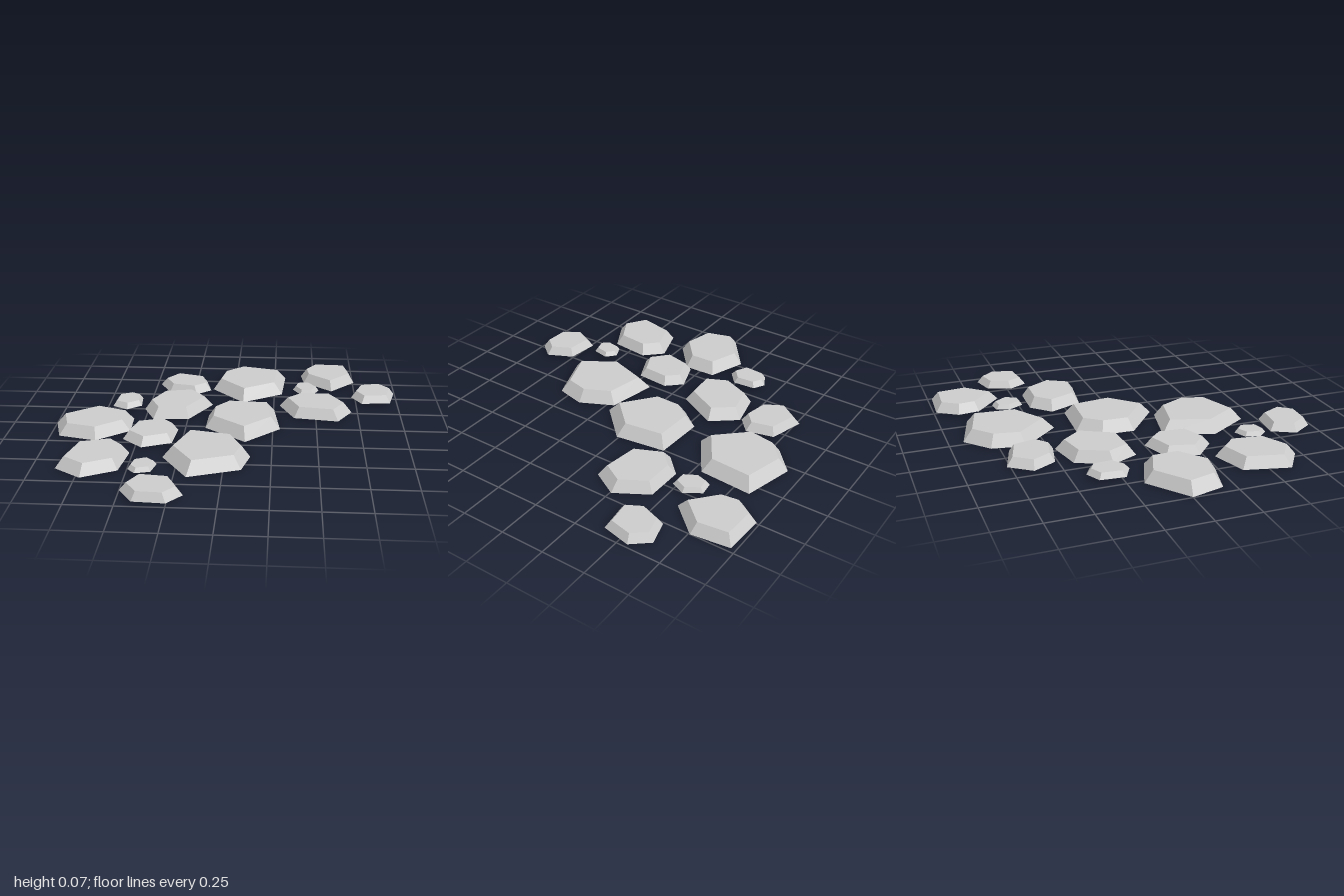
import * as THREE from 'three';

// Ground outlines as x, z pairs, clockwise seen from above
const largeStones = [
  [0.035, -0.917, 0.318, -0.842, 0.297, -0.543, 0.061, -0.393, -0.136, -0.607, -0.104, -0.794],
  [-0.035, -0.291, 0.254, -0.275, 0.291, 0.013, 0.099, 0.206, -0.136, 0.019, -0.131, -0.168],
  [-0.238, 0.152, 0.045, 0.211, 0.136, 0.398, 0.094, 0.564, -0.184, 0.666, -0.334, 0.43],
  [0.5, -0.987, 0.73, -0.976, 0.757, -0.762, 0.607, -0.596, 0.436, -0.746, 0.42, -0.869],
  [0.393, -0.447, 0.607, -0.441, 0.714, -0.259, 0.628, -0.11, 0.372, -0.147, 0.286, -0.34],
  [-0.436, -0.43, -0.233, -0.473, -0.12, -0.329, -0.243, -0.099, -0.452, -0.088, -0.521, -0.238],
  [-0.778, -0.168, -0.564, -0.088, -0.559, 0.094, -0.735, 0.238, -0.949, 0.184, -1, 0],
  [-0.815, 0.361, -0.612, 0.297, -0.516, 0.398, -0.543, 0.618, -0.725, 0.714, -0.874, 0.612],
];
const smallStones = [
  [-0.382, -0.773, -0.184, -0.714, -0.147, -0.559, -0.233, -0.484, -0.404, -0.521, -0.473, -0.65],
  [-0.537, 0.051, -0.366, -0.008, -0.286, 0.078, -0.302, 0.265, -0.463, 0.334, -0.58, 0.227],
  [-0.43, 0.725, -0.243, 0.746, -0.174, 0.89, -0.249, 0.981, -0.42, 0.971, -0.497, 0.853],
  [-0.473, 0.548, -0.398, 0.516, -0.345, 0.564, -0.366, 0.66, -0.447, 0.682, -0.489, 0.634],
  [-0.703, -0.377, -0.618, -0.42, -0.553, -0.382, -0.543, -0.254, -0.623, -0.19, -0.714, -0.238],
  [0.388, -0.65, 0.468, -0.66, 0.527, -0.57, 0.489, -0.489, 0.414, -0.489, 0.366, -0.575],
  [0.773, -0.618, 0.912, -0.655, 0.992, -0.559, 0.955, -0.398, 0.783, -0.377, 0.725, -0.484],
];

const TOP_SCALE = 0.77; // top face relative to the ground outline
const MID_HEIGHT = 0.034; // all stones share this mid level

// Open-bottomed slab with bevelled sides; thickness grows with the stone's size
function stoneGeometry(outline) {
  const corners = [];
  for (let i = 0; i < outline.length; i += 2) corners.push(new THREE.Vector3(outline[i], 0, outline[i + 1]));
  const n = corners.length;
  const centre = new THREE.Vector3();
  corners.forEach((c) => centre.addScaledVector(c, 1 / n));
  const radius = corners.reduce((sum, c) => sum + c.distanceTo(centre) / n, 0);
  const half = Math.min(MID_HEIGHT, radius * 0.145);

  const bottom = corners.map((c) => c.clone().setY(MID_HEIGHT - half));
  const top = corners.map((c) => centre.clone().lerp(c, TOP_SCALE).setY(MID_HEIGHT + half));

  const points = [];
  for (let i = 0; i < n; i++) {
    const j = (i + 1) % n;
    points.push(bottom[j], bottom[i], top[i], bottom[j], top[i], top[j]); // bevelled side
    if (i > 0 && i < n - 1) points.push(top[0], top[j], top[i]); // flat top
  }
  const geometry = new THREE.BufferGeometry().setFromPoints(points);
  geometry.computeVertexNormals();
  return geometry;
}

export function createModel() {
  const model = new THREE.Group();
  model.name = 'steppingStones';
  const material = new THREE.MeshStandardMaterial({ color: 0xcccccc, flatShading: true, side: THREE.DoubleSide });

  const addStones = (outlines, name) => {
    outlines.forEach((outline, i) => {
      const stone = new THREE.Mesh(stoneGeometry(outline), material);
      stone.name = `${name}${i + 1}`;
      model.add(stone);
    });
  };
  addStones(largeStones, 'largeStone');
  addStones(smallStones, 'smallStone');
  return model;
}
